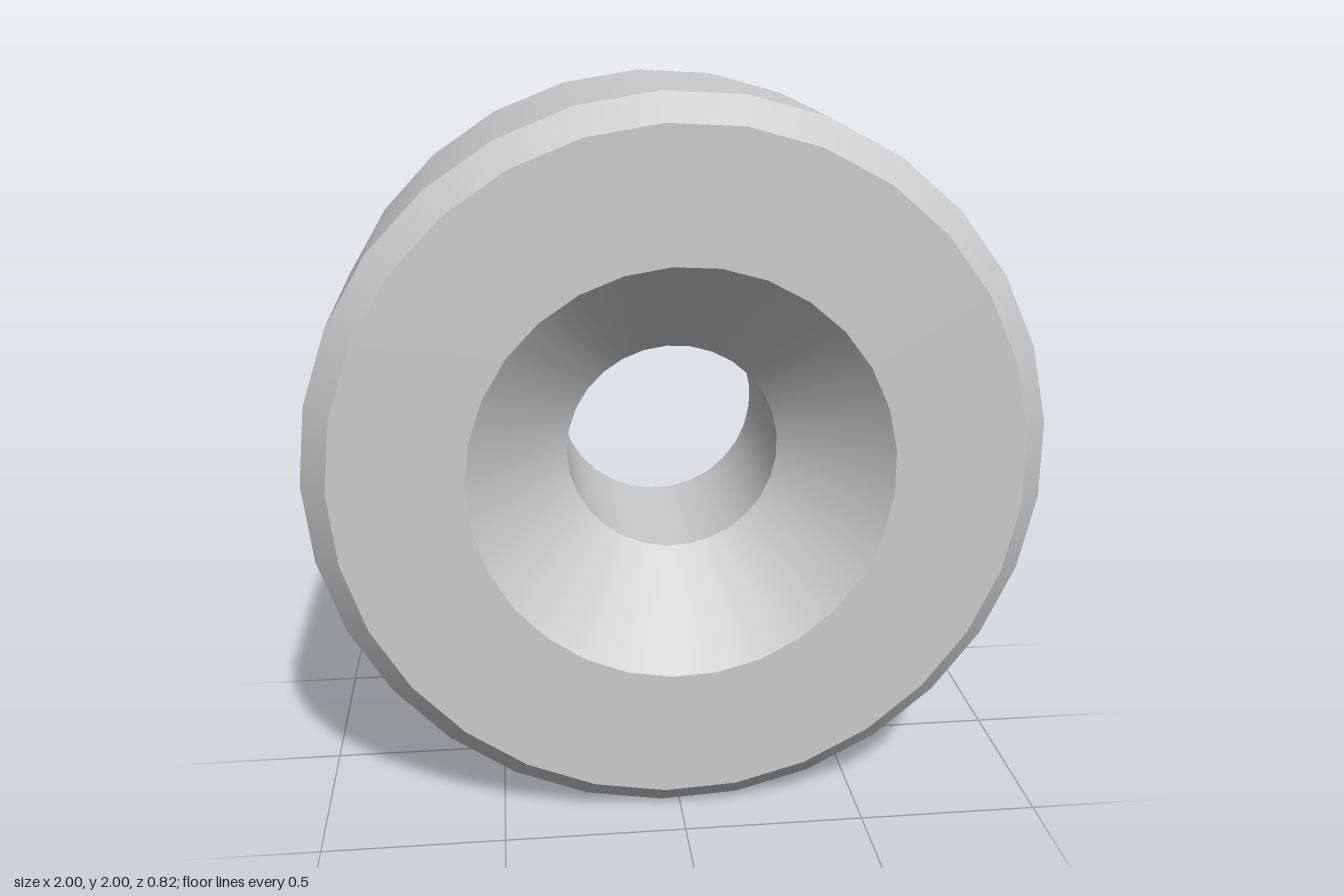
import * as THREE from 'three';
import { mergeGeometries } from 'three/addons/utils/BufferGeometryUtils.js';

const SIDES = 29;

// Revolves a profile of [radius, z] points about the z axis, one band per
// segment, so each band is smooth around and sharp at its edges.
function revolve(profile) {
  const bands = [];
  for (let i = 0; i < profile.length - 1; i++) {
    const points = [profile[i], profile[i + 1]].map(([r, z]) => new THREE.Vector2(r, z));
    bands.push(new THREE.LatheGeometry(points, SIDES, -Math.PI / 2));
  }
  return mergeGeometries(bands).rotateX(Math.PI / 2);
}

export function createModel() {
  const material = new THREE.MeshStandardMaterial({ color: 0xcccccc });
  const group = new THREE.Group();
  group.name = 'countersunkSpacer';

  const parts = {
    // chamfered outer wall, back to front
    outerWall: [[0.93, -0.41], [1.0015, -0.34], [1.0015, 0.34], [0.93, 0.41]],
    frontFace: [[0.93, 0.41], [0.573, 0.41]],
    // deep countersink at the front, straight bore, small chamfer at the back
    countersunkBore: [[0.573, 0.41], [0.297, 0.135], [0.297, -0.345], [0.362, -0.41]],
    backFace: [[0.362, -0.41], [0.93, -0.41]],
  };

  for (const [name, profile] of Object.entries(parts)) {
    const mesh = new THREE.Mesh(revolve(profile), material);
    mesh.name = name;
    mesh.position.set(0.003, 1, 0);
    group.add(mesh);
  }
  return group;
}
